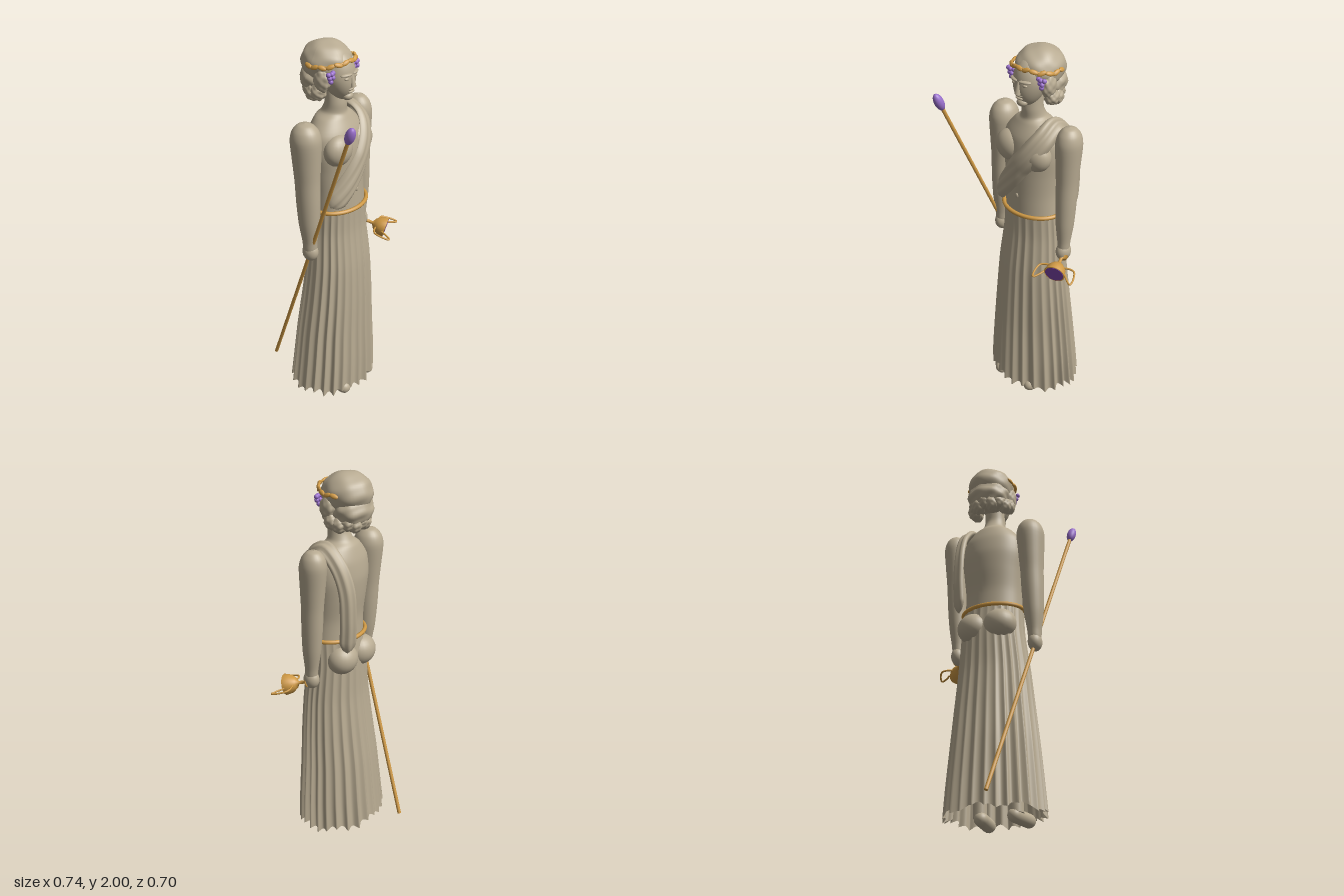
import * as THREE from 'three';

const paint = (color, side = THREE.FrontSide) => new THREE.MeshStandardMaterial({ color, side });
const V = (x, y, z) => new THREE.Vector3(x, y, z);

// Surface from closed cross-sections: at(u, angle) returns a point
function grid(rows, cols, at) {
  const pos = [], idx = [];
  for (let i = 0; i <= rows; i++)
    for (let j = 0; j < cols; j++) pos.push(...at(i / rows, (j / cols) * Math.PI * 2).toArray());
  for (let i = 0; i < rows; i++)
    for (let j = 0; j < cols; j++) {
      const a = i * cols + j, b = i * cols + (j + 1) % cols;
      idx.push(a, b, a + cols, b, b + cols, a + cols);
    }
  const g = new THREE.BufferGeometry();
  g.setAttribute('position', new THREE.Float32BufferAttribute(pos, 3));
  g.setIndex(idx);
  g.computeVertexNormals();
  return g;
}

// Smooth loft through rings [y, cx, cz, rx, rz], top to bottom
function loft(rings, rows, cols, warp) {
  const mid = new THREE.CatmullRomCurve3(rings.map(r => V(r[1], r[0], r[2])), false, 'catmullrom', 0.4);
  const rad = new THREE.CatmullRomCurve3(rings.map(r => V(r[3], r[4], 0)), false, 'catmullrom', 0.4);
  return grid(rows, cols, (u, t) => {
    const c = mid.getPoint(u), r = rad.getPoint(u), k = warp ? warp(u, t) : { s: 1, dy: 0 };
    return V(c.x + Math.cos(t) * r.x * k.s, c.y + k.dy, c.z + Math.sin(t) * r.y * k.s);
  });
}

export function createModel() {
  const model = new THREE.Group();
  model.name = 'drapedStatue';
  const stone = paint(0xb8ab92), cloth = paint(0xb8ab92, THREE.DoubleSide);
  const gold = paint(0xd09a45), violet = paint(0x9a70cc), wine = paint(0x7d45aa);

  const add = (name, geo, mat, p = [0, 0, 0], parent = model) => {
    const m = new THREE.Mesh(geo, mat);
    m.name = name;
    m.position.set(...p);
    parent.add(m);
    return m;
  };
  const ball = (name, mat, p, s, parent = model, seg = 24) => {
    const m = add(name, new THREE.SphereGeometry(1, seg, Math.round(seg * 0.7)), mat, p, parent);
    m.scale.set(...s);
    return m;
  };
  // Cylinder between two points
  const rod = (name, mat, a, b, r, sides = 10) => {
    const d = b.clone().sub(a);
    const m = add(name, new THREE.CylinderGeometry(r, r, d.length(), sides), mat, a.clone().lerp(b, 0.5).toArray());
    m.quaternion.setFromUnitVectors(V(0, 1, 0), d.normalize());
    return m;
  };

  // Pleated skirt, open at the hem
  add('skirt', loft([
    [1.14, 0, 0.005, 0.166, 0.13], [1.0, 0, 0, 0.172, 0.138], [0.8, -0.002, 0.008, 0.193, 0.152],
    [0.6, -0.005, 0.003, 0.212, 0.168], [0.4, -0.01, -0.006, 0.23, 0.183],
    [0.2, -0.012, -0.012, 0.247, 0.196], [0.04, -0.015, -0.018, 0.258, 0.205],
  ], 40, 312, (u, t) => {
    const fold = 1 - 2 * Math.abs(Math.sin(13 * t + 0.5 * Math.sin(3 * t)));
    return {
      s: 1 + (0.015 + 0.045 * u) * fold * (0.8 + 0.3 * Math.sin(5 * t + 1)),
      dy: u ** 8 * (0.012 * Math.sin(7 * t) - 0.008 * fold),
    };
  }), cloth);

  // Torso running up into the neck
  add('torso', loft([
    [1.78, -0.013, -0.01, 0.052, 0.05], [1.7, -0.013, 0, 0.056, 0.054], [1.65, -0.012, -0.01, 0.066, 0.065],
    [1.62, -0.01, -0.015, 0.11, 0.085], [1.55, -0.008, -0.01, 0.166, 0.116], [1.46, -0.008, -0.008, 0.175, 0.13],
    [1.36, -0.006, -0.004, 0.164, 0.128], [1.24, -0.005, 0.004, 0.156, 0.122], [1.1, 0, 0.005, 0.16, 0.125],
  ], 40, 48), stone);
  for (const s of [-1, 1]) {
    ball('chestMuscle', stone, [s * 0.085 - 0.008, 1.48, 0.072], [0.088, 0.085, 0.066]);
    ball('hipBulge', stone, [s * 0.075 - 0.005, 1.03, -0.09], [0.088, 0.082, 0.08]);
  }
  ball('navel', stone, [-0.005, 1.24, 0.126], [0.01, 0.014, 0.006]);

  // Belt
  const waist = [];
  for (let i = 0; i < 16; i++) {
    const a = i * Math.PI / 8;
    waist.push(V(0.17 * Math.cos(a) - 0.002, 1.14, 0.005 + 0.133 * Math.sin(a)));
  }
  add('belt', new THREE.TubeGeometry(new THREE.CatmullRomCurve3(waist, true), 80, 0.011, 8, true), gold);

  // Sash: hangs down the back, over the left shoulder, across the chest to the right hip
  const path = new THREE.CatmullRomCurve3([
    V(0.12, 1.1, -0.165), V(0.125, 1.28, -0.175), V(0.125, 1.45, -0.16), V(0.13, 1.57, -0.105), V(0.13, 1.635, -0.02),
    V(0.125, 1.585, 0.07), V(0.08, 1.5, 0.123), V(0, 1.395, 0.143), V(-0.09, 1.285, 0.13), V(-0.175, 1.19, 0.085),
  ]);
  add('sash', grid(72, 32, (u, t) => {
    const p = path.getPointAt(u), T = path.getTangentAt(u);
    const N = p.clone().sub(V(-0.01, THREE.MathUtils.clamp(p.y, 1.2, 1.42), 0));
    N.addScaledVector(T, -N.dot(T)).normalize();
    const B = N.clone().cross(T);
    const end = Math.min(1, Math.pow(Math.min(u, 1 - u) * 22, 0.5));
    const w = (0.043 + 0.017 * THREE.MathUtils.smoothstep(u, 0.4, 0.65)) * Math.max(0.01, end);
    const b = Math.cos(t) * w, ridge = 0.004 * Math.cos(b * 160) * (Math.sin(t) > 0 ? 1 : 0);
    const h = Math.sin(t) * 0.02 * Math.max(0.01, end) + ridge * end - b * b * 3.5;
    return p.addScaledVector(B, b).addScaledVector(N, h);
  }), cloth);

  // Arms and hands
  const arm = [[1.65, 0.002], [1.64, 0.035], [1.61, 0.06], [1.56, 0.072], [1.45, 0.066], [1.34, 0.059],
    [1.22, 0.056], [1.1, 0.049], [1.0, 0.036], [0.94, 0.03], [0.92, 0.002]];
  for (const [side, x, k] of [['right', -0.231, 1.04], ['left', 0.213, 0.92]]) {
    add(side + 'Arm', loft(arm.map(([y, r]) => {
      const d = (1.6 - y) / 0.66;
      return [y, x - 0.006 * d, -0.022 + 0.024 * d, r * k, r * (k + 0.08)];
    }), 44, 28), stone);
    ball(side + 'Hand', stone, [x - 0.006, 0.935, 0.002], [0.037, 0.05, 0.044]);
  }

  // Legs and feet under the skirt
  for (const s of [-1, 1]) {
    const x = s * 0.1 - 0.018;
    const foot = add('foot', new THREE.CapsuleGeometry(0.036, 0.13, 8, 16), stone, [x, 0.04, 0.075]);
    foot.rotation.set(Math.PI / 2, 0, -s * 0.15);
    rod('leg', stone, V(x, 0.05, 0.02), V(s * 0.08, 1.0, 0), 0.035, 16);
  }

  // Head: an egg narrowing to the jaw, with simple features
  const skull = new THREE.SphereGeometry(1, 40, 32), sp = skull.attributes.position;
  for (let i = 0; i < sp.count; i++) {
    const y = sp.getY(i), jaw = y < 0 ? 1 + 0.2 * y : 1;
    sp.setXYZ(i, sp.getX(i) * 0.085 * jaw, y * 0.125, sp.getZ(i) * 0.088 + (y < 0 ? -0.014 * y : 0));
  }
  skull.computeVertexNormals();
  const head = new THREE.Group();
  head.name = 'head';
  head.position.set(-0.013, 1.84, 0.014);
  model.add(head);
  add('face', skull, stone, [0, 0, 0], head);
  const nose = add('nose', new THREE.CylinderGeometry(0.007, 0.016, 0.065, 12), stone, [0, -0.012, 0.086], head);
  nose.rotation.x = -0.15;
  ball('chin', stone, [0, -0.098, 0.058], [0.03, 0.022, 0.026], head);
  for (const y of [-0.056, -0.07]) ball('lip', stone, [0, y, 0.078], [0.023, 0.007, 0.012], head);
  for (const s of [-1, 1]) {
    const brow = ball('brow', stone, [s * 0.036, 0.022, 0.076], [0.032, 0.008, 0.014], head);
    brow.rotation.y = s * 0.4;
    ball('eye', stone, [s * 0.034, 0.002, 0.076], [0.015, 0.008, 0.009], head);
  }

  // Wavy hair: rippled cap with locks around the nape
  const lock = (name, p, s, ripple) => {
    const g = new THREE.SphereGeometry(1, 48, 36), q = g.attributes.position, v = V(0, 0, 0);
    for (let i = 0; i < q.count; i++) {
      v.fromBufferAttribute(q, i);
      v.multiplyScalar(1 + ripple * (Math.sin(6 * v.x + 3 * v.y) * Math.cos(5 * v.z - 4 * v.y) + 0.5 * Math.sin(9 * v.y + 5 * v.z)));
      q.setXYZ(i, v.x * s[0], v.y * s[1], v.z * s[2]);
    }
    g.computeVertexNormals();
    add(name, g, stone, p);
  };
  lock('hairCap', [-0.013, 1.895, -0.055], [0.122, 0.104, 0.13], 0.025);
  lock('hairBack', [-0.013, 1.815, -0.095], [0.116, 0.085, 0.09], 0.045);
  for (let i = 0; i < 9; i++) {
    const a = Math.PI * (i / 8), low = i % 2 * 0.012;
    lock('hairLock', [-0.013 + 0.096 * Math.cos(a), 1.765 - low, -0.035 - 0.1 * Math.sin(a)], [0.037, 0.043, 0.04], 0.06);
  }
  for (const s of [-1, 1]) lock('sideLock', [-0.013 + s * 0.098, 1.83, -0.012], [0.032, 0.06, 0.045], 0.06);

  // Wreath of leaves around the brow
  const round = (a, r = 1) => V(-0.013 + 0.126 * r * Math.sin(a), 1.915 + 0.012 * Math.cos(2 * a), -0.04 + 0.13 * r * Math.cos(a));
  const band = new THREE.CatmullRomCurve3(Array.from({ length: 13 }, (_, i) => round(-1.75 + i * 3.5 / 12)));
  add('wreathBand', new THREE.TubeGeometry(band, 48, 0.006, 6), gold);
  for (let i = 0; i < 13; i++) {
    const a = -1.8 + i * 0.3;
    const leaf = ball('wreathLeaf', gold, round(a, 1.02).toArray(), [0.024, 0.012, 0.008], model, 12);
    leaf.rotation.set(0, a, (i % 2 ? 0.35 : -0.25), 'YXZ');
    leaf.rotateX(-0.6);
  }

  // Grape clusters at the temples
  for (const s of [-1, 1])
    for (let row = 0; row < 3; row++)
      for (let k = 0; k < 3 - row; k++)
        ball('grape', violet, [-0.013 + s * 0.1 + (k - (2 - row) / 2) * 0.018, 1.878 - row * 0.02, 0.044 + (k % 2) * 0.006],
          [0.0125, 0.0125, 0.0125], model, 12);

  // Staff with a cone-shaped tip
  const low = V(-0.125, 0.07, -0.345), high = V(-0.337, 1.69, 0.308);
  rod('staff', gold, low, high, 0.01, 8);
  const tip = ball('staffTip', violet, high.clone().lerp(low, -0.018).toArray(), [0.025, 0.05, 0.025]);
  tip.quaternion.setFromUnitVectors(V(0, 1, 0), high.clone().sub(low).normalize());

  // Two-handled cup, tipped forward; local y is its axis with the rim at 0
  const cup = new THREE.Group();
  cup.name = 'cup';
  cup.position.set(0.262, 0.883, 0.132);
  const axis = V(0.36, -0.28, 0.89).normalize(), across = V(0.89, 0, -0.36).normalize();
  cup.quaternion.setFromRotationMatrix(new THREE.Matrix4().makeBasis(across, axis, across.clone().cross(axis)));
  model.add(cup);
  const profile = [[0.001, -0.13], [0.03, -0.128], [0.028, -0.118], [0.009, -0.108], [0.008, -0.075], [0.028, -0.062],
    [0.048, -0.035], [0.056, 0], [0.05, 0.002], [0.046, -0.01]].map(p => new THREE.Vector2(...p));
  add('cupBowl', new THREE.LatheGeometry(profile, 32), paint(0xd09a45, THREE.DoubleSide), [0, 0, 0], cup);
  add('wineSurface', new THREE.CylinderGeometry(0.049, 0.047, 0.006, 32), wine, [0, 0, 0], cup);
  for (const s of [-1, 1]) {
    const loop = new THREE.CatmullRomCurve3([[0.035, -0.05], [0.07, -0.05], [0.094, -0.038], [0.106, 0.02],
      [0.1, 0.045], [0.08, 0.028], [0.053, -0.01]].map(([x, y]) => V(s * x, y, 0)));
    add('cupHandle', new THREE.TubeGeometry(loop, 32, 0.005, 8), gold, [0, 0, 0], cup);
  }
  return model;
}
